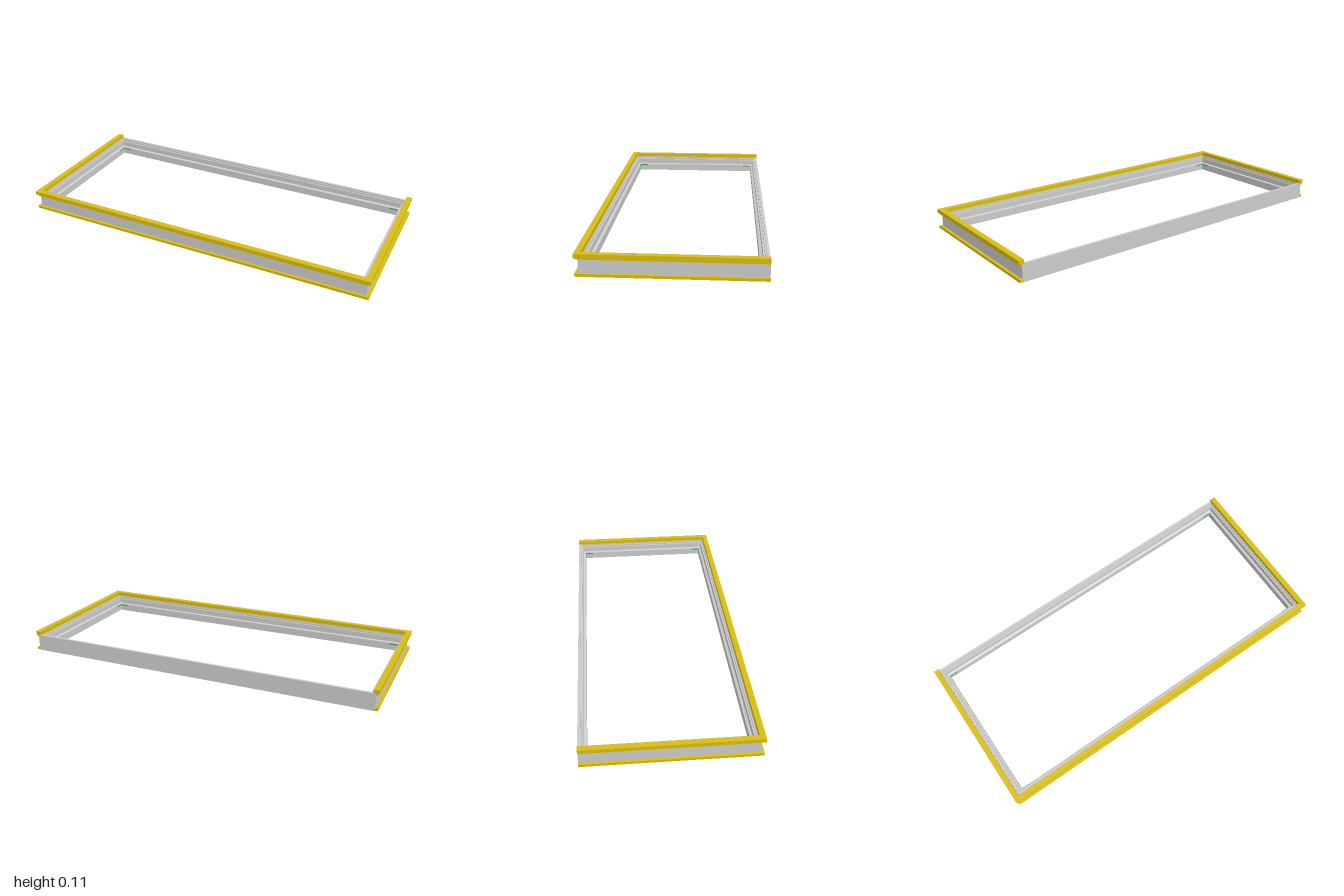
import * as THREE from 'three';

const grey = new THREE.MeshStandardMaterial({ color: 0xcccccc, side: THREE.DoubleSide });
const yellow = new THREE.MeshStandardMaterial({ color: 0xd8bc10, side: THREE.DoubleSide });
const green = new THREE.MeshStandardMaterial({ color: 0x30b040 });

const X = 0.983, FRONT = 0.427, BACK = -0.443; // outer faces of the wall

// Mitred sweep of a counter-clockwise [outward, height] profile along left, front and right sides.
// Closed sweeps also run along the back; open ones end flush with it.
function sweep(name, profile, closed, material) {
  const back = u => (closed ? BACK - u : BACK);
  const corners = [
    ([u, y]) => [-X - u, y, back(u)],
    ([u, y]) => [-X - u, y, FRONT + u],
    ([u, y]) => [X + u, y, FRONT + u],
    ([u, y]) => [X + u, y, back(u)],
  ];
  const pos = [];
  const tri = (...points) => points.forEach(p => pos.push(...p));
  const sides = closed ? 4 : 3;
  for (let i = 0; i < sides; i++) {
    const here = corners[i], next = corners[(i + 1) % 4];
    profile.forEach((p, j) => {
      const q = profile[(j + 1) % profile.length];
      tri(here(p), next(p), next(q));
      tri(here(p), next(q), here(q));
    });
  }
  if (!closed) {
    const contour = profile.map(p => new THREE.Vector2(...p));
    for (const [a, b, c] of THREE.ShapeUtils.triangulateShape(contour, [])) {
      tri(corners[0](profile[a]), corners[0](profile[b]), corners[0](profile[c]));
      tri(corners[3](profile[a]), corners[3](profile[c]), corners[3](profile[b]));
    }
  }
  const geometry = new THREE.BufferGeometry();
  geometry.setAttribute('position', new THREE.Float32BufferAttribute(pos, 3));
  geometry.computeVertexNormals();
  const mesh = new THREE.Mesh(geometry, material);
  mesh.name = name;
  return mesh;
}

const band = (u0, u1, y0, y1) => [[u0, y0], [u1, y0], [u1, y1], [u0, y1]];

export function createModel() {
  const group = new THREE.Group();
  group.name = 'rectangularFrame';

  // Wall with ledges stepping down towards the opening
  group.add(sweep('steppedWall', [
    [0, 0], [0, 0.092], [-0.014, 0.092], [-0.014, 0.084], [-0.021, 0.084], [-0.021, 0.075],
    [-0.029, 0.075], [-0.029, 0.046], [-0.043, 0.042], [-0.043, 0],
  ], true, grey));

  // Yellow trims on the left, front and right
  group.add(sweep('topTrim', band(-0.013, 0.017, 0.092, 0.112), false, yellow));
  group.add(sweep('underTrim', band(-0.002, 0.009, 0.083, 0.092), false, yellow));
  group.add(sweep('bottomTrim', band(-0.002, 0.015, 0.002, 0.016), false, yellow));

  // Small green clips in the inner corners
  for (const sx of [-1, 1]) {
    for (const [z, dir] of [[BACK + 0.043, 1], [FRONT - 0.043, -1]]) {
      const clip = new THREE.Group();
      clip.name = 'cornerClip';
      const along = new THREE.Mesh(new THREE.BoxGeometry(0.05, 0.006, 0.004), green);
      along.position.set(sx * (X - 0.068), 0.036, z);
      const across = new THREE.Mesh(new THREE.BoxGeometry(0.004, 0.006, 0.05), green);
      across.position.set(sx * (X - 0.043), 0.036, z + dir * 0.025);
      clip.add(along, across);
      group.add(clip);
    }
  }
  return group;
}
